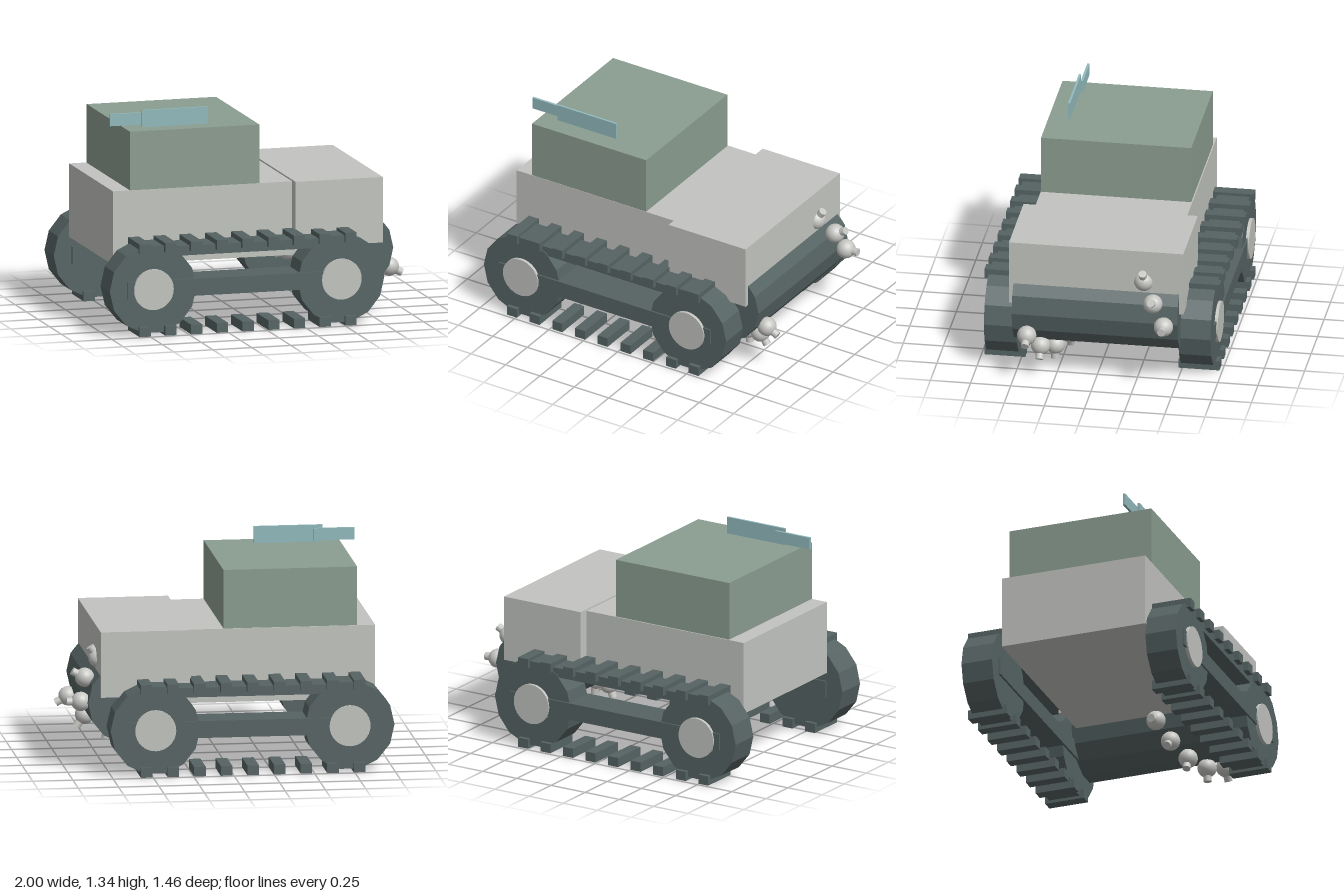
import * as THREE from 'three';

const mat = (name, color) => {
  const m = new THREE.MeshStandardMaterial({ color });
  m.name = name;
  return m;
};

export function createModel() {
  const model = new THREE.Group();
  model.name = 'mineClearingTank';
  const paleGrey = mat('pale grey', 0xc2c4c0);
  const green = mat('grey green', 0x8b9d90);
  const dark = mat('dark slate', 0x566363);
  const teal = mat('pale teal', 0x92babd);
  const steel = mat('light steel', 0xc6c6c3);

  const add = (parent, name, geometry, material) => {
    const mesh = new THREE.Mesh(geometry, material);
    mesh.name = name;
    parent.add(mesh);
    return mesh;
  };
  // Box given by its limits on each axis
  const box = (parent, name, material, [x0, x1], [y0, y1], [z0, z1]) =>
    add(parent, name, new THREE.BoxGeometry(x1 - x0, y1 - y0, z1 - z0), material)
      .position.set((x0 + x1) / 2, (y0 + y1) / 2, (z0 + z1) / 2);
  // Cylinder along z with a corner pointing along +x
  const roller = (parent, name, material, x, y, r, z0, z1, sides) => {
    let geo = new THREE.CylinderGeometry(r, r, z1 - z0, sides);
    geo.rotateY(Math.PI / 2).rotateX(Math.PI / 2);
    geo = geo.toNonIndexed();
    geo.computeVertexNormals();
    add(parent, name, geo, material).position.set(x, y, (z0 + z1) / 2);
  };

  // Body
  box(model, 'hull', paleGrey, [-0.91, 0.4], [0.41, 0.87], [-0.475, 0.47]);
  box(model, 'frontHousing', paleGrey, [0.24, 0.8], [0.47, 0.88], [-0.543, 0.543]);
  box(model, 'cabin', green, [-0.8, 0.03], [0.87, 1.237], [-0.468, 0.468]);

  // Thin two-piece gun on the cabin roof
  box(model, 'gunBody', teal, [-0.69, -0.265], [1.237, 1.343], [0.334, 0.348]);
  box(model, 'gunBarrel', teal, [-0.885, -0.63], [1.25, 1.325], [0.313, 0.328]);

  // Tracks, one on each side
  for (const side of [-1, 1]) {
    const track = new THREE.Group();
    track.name = side > 0 ? 'rightTrack' : 'leftTrack';
    model.add(track);
    const span = (a, b) => (side > 0 ? [a, b] : [-b, -a]);
    for (const x of [-0.722, 0.483]) {
      roller(track, 'trackWheel', dark, x, 0.29, 0.278, ...span(0.505, 0.706), 14);
      roller(track, 'wheelHub', paleGrey, x, 0.29, 0.127, ...span(0.62, 0.726), 32);
    }
    box(track, 'axleBeam', dark, [-0.885, 0.65], [0.237, 0.343], span(0.492, 0.717));
    box(track, 'upperBand', dark, [-0.78, 0.54], [0.49, 0.55], span(0.51, 0.7));
    for (let i = 0; i < 9; i++) {
      const x = -0.78 + i * 0.165;
      for (const y of [0, 0.52])
        box(track, 'trackLug', dark, [x - 0.036, x + 0.036], [y, y + 0.06], span(0.478, 0.732));
    }
  }

  // Front drum with a spiral of studded balls
  const flail = new THREE.Group();
  flail.name = 'flailDrum';
  flail.position.set(0.618, 0.43, 0);
  model.add(flail);
  roller(flail, 'drum', dark, 0, 0, 0.257, -0.517, 0.515, 14);
  const ballGeo = new THREE.IcosahedronGeometry(0.06, 3);
  const studGeo = new THREE.CylinderGeometry(0.025, 0.025, 0.06, 16);
  studGeo.rotateZ(-Math.PI / 2);
  for (let i = 0; i < 13; i++) {
    const arm = new THREE.Group();
    arm.name = 'flailBall';
    arm.rotation.z = (i / 13) * Math.PI * 2;
    arm.position.z = -0.437 + i * 0.0714;
    flail.add(arm);
    add(arm, 'ball', ballGeo, steel).position.x = 0.293;
    add(arm, 'stud', studGeo, steel).position.x = 0.351;
  }
  return model;
}
